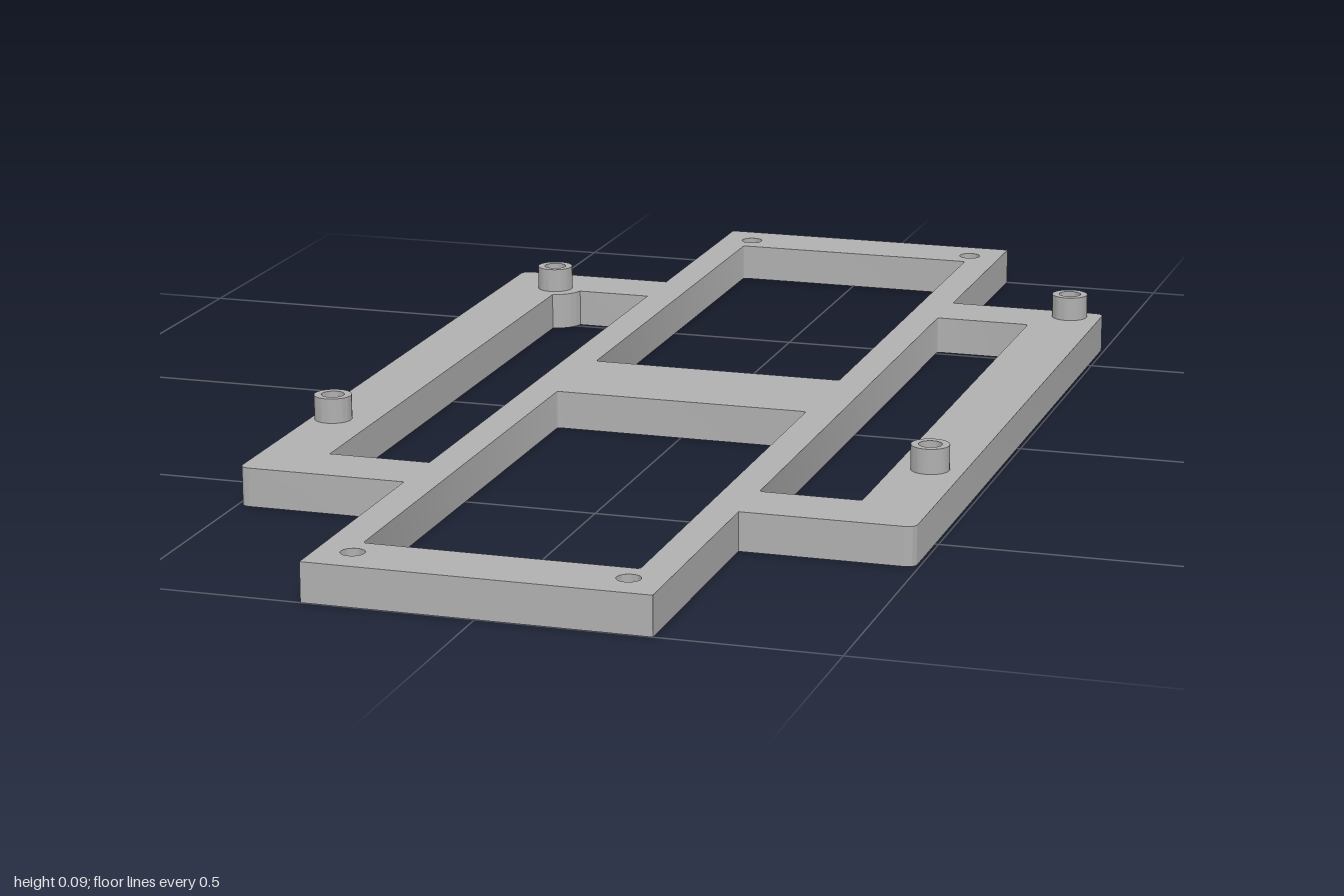
import * as THREE from 'three';
import { toCreasedNormals } from 'three/addons/utils/BufferGeometryUtils.js';

const PLATE = 0.057, TOP = 0.094, HOLE = 0.017;

// Rounded polygon; each point is [x, y, radius]
function roundedPath(points, path) {
  const n = points.length;
  points.forEach(([x, y, r], i) => {
    const p = new THREE.Vector2(x, y);
    const toward = ([qx, qy]) => new THREE.Vector2(qx, qy).sub(p).setLength(r).add(p);
    const a = r ? toward(points[(i + n - 1) % n]) : p;
    const b = r ? toward(points[(i + 1) % n]) : p;
    if (i === 0) path.moveTo(a.x, a.y); else path.lineTo(a.x, a.y);
    if (r) path.quadraticCurveTo(x, y, b.x, b.y);
  });
  path.closePath();
  return path;
}

function windowPath(x0, x1, y0, y1, r = 0.006) {
  return roundedPath([[x0, y0, r], [x1, y0, r], [x1, y1, r], [x0, y1, r]], new THREE.Path());
}

function circlePath(x, y, r) {
  return new THREE.Path().absarc(x, y, r, 0, Math.PI * 2, true);
}

// Extrude a plan drawing (shape y = -z) upwards
function extrudeUp(shape, depth, base = 0) {
  const g = new THREE.ExtrudeGeometry(shape, { depth, bevelEnabled: false, curveSegments: 16 });
  g.rotateX(-Math.PI / 2).translate(0, base, 0);
  return toCreasedNormals(g, 0.7);
}

export function createModel() {
  const model = new THREE.Group();
  model.name = 'mountingFrame';
  const grey = new THREE.MeshStandardMaterial({ color: 0xb0b0b0 });
  grey.name = 'grey plastic';

  const add = (name, geometry) => {
    const mesh = new THREE.Mesh(geometry, grey);
    mesh.name = name;
    model.add(mesh);
  };

  // Cross-shaped outline of the plate
  const c = 0.245, w = 0.495, s = 0.612, r = 0.016;
  const plate = roundedPath([
    [-c, -1, 0], [c, -1, 0], [c, -s, 0], [w, -s, r], [w, s, r], [c, s, 0],
    [c, 1, 0], [-c, 1, 0], [-c, s, 0], [-w, s, r], [-w, -s, r], [-c, -s, 0],
  ], new THREE.Shape());

  // Two central windows and the plain side window
  plate.holes.push(
    windowPath(-0.195, 0.195, 0.093, 0.897),
    windowPath(-0.195, 0.195, -0.897, -0.093),
    windowPath(c, 0.393, -0.51, 0.51),
  );

  // Other side window, with a corner pad left around the boss
  const pad = new THREE.Path();
  pad.moveTo(-0.397, -0.51);
  pad.lineTo(-c, -0.51);
  pad.lineTo(-c, 0.51);
  pad.lineTo(-0.361, 0.51);
  pad.absarc(-0.408, 0.521, 0.048, -0.231, -1.34, true);
  pad.closePath();
  plate.holes.push(pad);

  // Screw holes at the four ends
  for (const x of [-0.193, 0.193]) {
    for (const y of [-0.94, 0.94]) plate.holes.push(circlePath(x, y, HOLE));
  }

  // Hollow standoffs, bored through the plate
  const standoffs = [[-0.408, 0.521], [0.445, 0.582], [-0.462, -0.333], [0.445, -0.333]];
  standoffs.forEach(([x, y], i) => {
    plate.holes.push(circlePath(x, y, HOLE));
    const ring = new THREE.Shape().absarc(x, y, 0.028, 0, Math.PI * 2, false);
    ring.holes.push(circlePath(x, y, HOLE));
    add(`standoff${i + 1}`, extrudeUp(ring, TOP - PLATE, PLATE));
  });

  add('framePlate', extrudeUp(plate, PLATE));
  return model;
}
